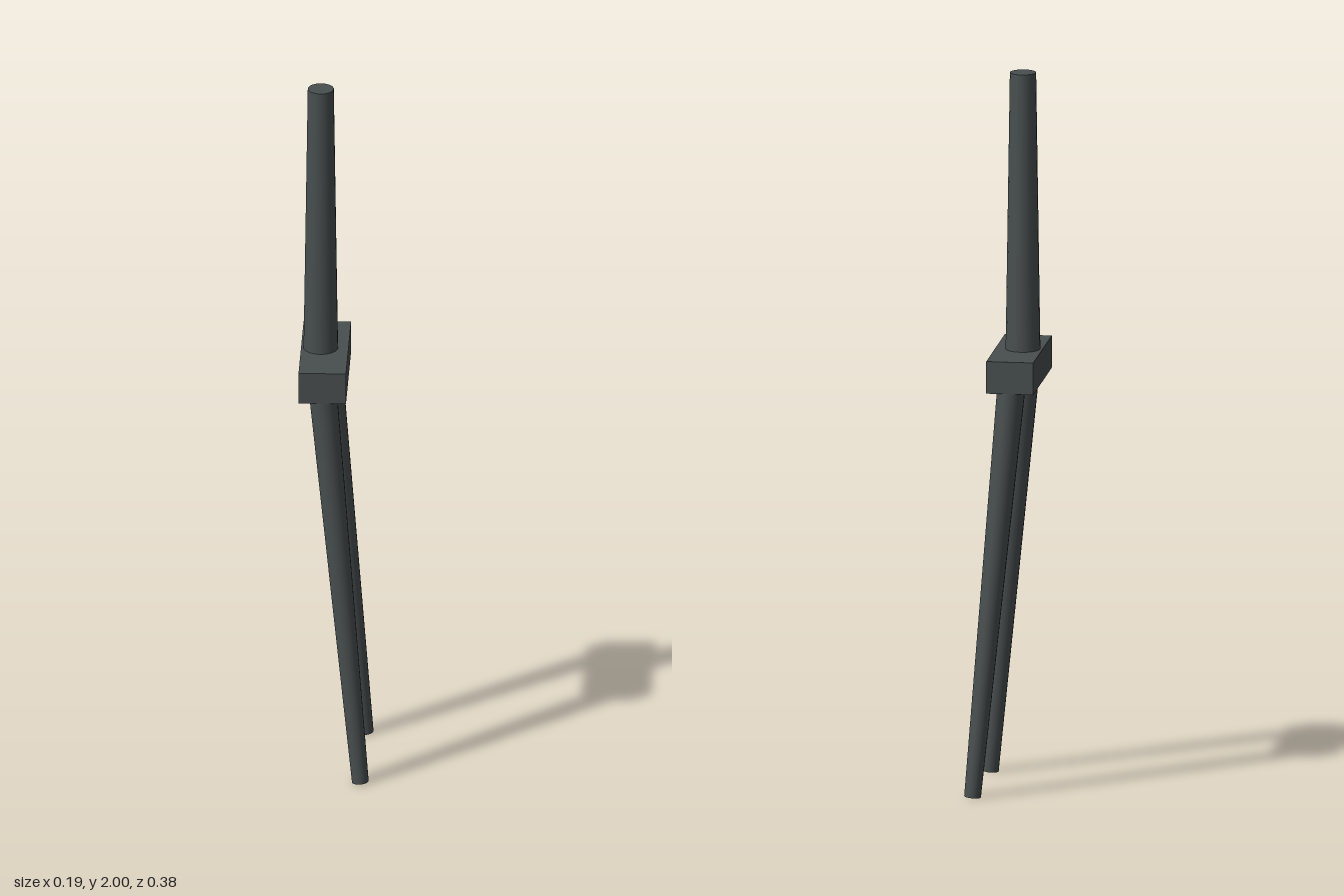
import * as THREE from 'three';

export function createModel() {
  const group = new THREE.Group();
  const metal = new THREE.MeshStandardMaterial({ color: 0x484e4f });
  metal.name = 'dark grey metal';

  // Tapered round tube between two points
  function taperedTube(name, bottom, top, rBottom, rTop) {
    const dir = top.clone().sub(bottom);
    const mesh = new THREE.Mesh(new THREE.CylinderGeometry(rTop, rBottom, dir.length(), 18), metal);
    mesh.name = name;
    mesh.position.copy(bottom).add(top).multiplyScalar(0.5);
    mesh.quaternion.setFromUnitVectors(new THREE.Vector3(0, 1, 0), dir.normalize());
    group.add(mesh);
  }

  // Steering tube
  taperedTube('steererTube', new THREE.Vector3(-0.043, 1.2, -0.001), new THREE.Vector3(-0.043, 2, -0.001), 0.048, 0.036);

  // Crown block joining the legs
  const crown = new THREE.Mesh(new THREE.BoxGeometry(0.13, 0.09, 0.354), metal);
  crown.name = 'crown';
  crown.position.set(-0.032, 1.18, -0.001);
  group.add(crown);

  // Fork legs, raked forward and splayed outward
  for (const [name, s] of [['frontLeg', 1], ['backLeg', -1]]) {
    taperedTube(name,
      new THREE.Vector3(0.072, 0.002, s * 0.169 - 0.001),
      new THREE.Vector3(-0.033, 1.17, s * 0.138 - 0.001), 0.023, 0.039);
  }

  return group;
}
